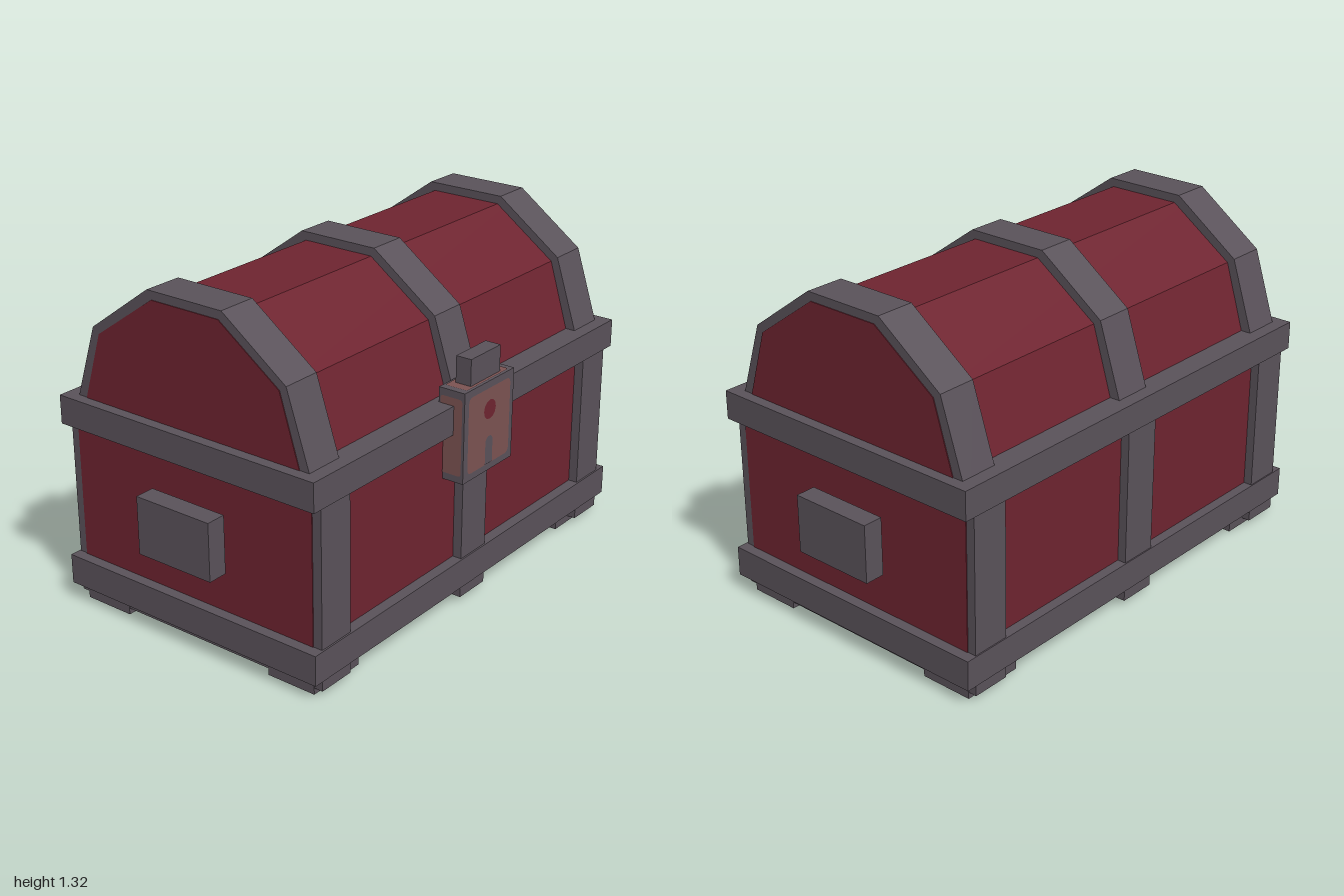
import * as THREE from 'three';

const red = new THREE.MeshStandardMaterial({ color: 0x6e2430 });
red.name = 'redWood';
const iron = new THREE.MeshStandardMaterial({ color: 0x5a525a });
iron.name = 'greyIron';
const copper = new THREE.MeshStandardMaterial({ color: 0x7c5352 });
copper.name = 'dullCopper';

export function createModel() {
  const chest = new THREE.Group();
  chest.name = 'chest';

  function add(name, geometry, material, parent = chest) {
    const mesh = new THREE.Mesh(geometry, material);
    mesh.name = name;
    parent.add(mesh);
    return mesh;
  }

  // Box given by its limits along each axis
  function box(name, [x0, x1], [y0, y1], [z0, z1], material, parent) {
    const mesh = add(name, new THREE.BoxGeometry(x1 - x0, y1 - y0, z1 - z0), material, parent);
    mesh.position.set((x0 + x1) / 2, (y0 + y1) / 2, (z0 + z1) / 2);
    return mesh;
  }

  // Side outline of [z, y] points, extruded along x
  function prism(name, points, [x0, x1], material) {
    const shape = new THREE.Shape(points.map(([z, y]) => new THREE.Vector2(z, y)));
    const geometry = new THREE.ExtrudeGeometry(shape, { depth: x1 - x0, bevelEnabled: false });
    geometry.rotateY(-Math.PI / 2).translate(x1, 0, 0);
    return add(name, geometry, material);
  }

  // Wooden body and faceted lid
  box('body', [-0.903, 0.903], [0.042, 0.78], [-0.57, 0.523], red);
  prism('lid', [[0.503, 0.74], [0.392, 1.1], [0.133, 1.285], [-0.17, 1.285],
    [-0.433, 1.1], [-0.545, 0.74]], [-0.903, 0.903], red);

  // Three iron straps wrap the body and the lid
  const lidStrap = [[0.545, 0.74], [0.42, 1.12], [0.147, 1.318], [-0.19, 1.318],
    [-0.463, 1.12], [-0.588, 0.74]];
  for (const [side, x0, x1] of [['right', -0.9, -0.745], ['middle', -0.078, 0.078], ['left', 0.745, 0.9]]) {
    box(side + 'BodyStrap', [x0, x1], [0.025, 0.78], [-0.605, 0.56], iron);
    prism(side + 'LidStrap', lidStrap, [x0, x1], iron);
  }

  // Bands around the base and the opening
  box('lowerBand', [-0.945, 0.945], [0.07, 0.188], [-0.61, 0.567], iron);
  box('upperBand', [-0.945, 0.945], [0.725, 0.837], [-0.61, 0.567], iron);

  // Feet and side handles
  for (const [side, s] of [['left', 1], ['right', -1]]) {
    const span = (a, b) => (s > 0 ? [a, b] : [-b, -a]);
    box(side + 'FrontFoot', span(0.655, 0.902), [0, 0.045], [0.318, 0.525], iron);
    box(side + 'BackFoot', span(0.655, 0.902), [0, 0.045], [-0.572, -0.36], iron);
    box(side + 'Handle', span(0.92, 1), [0.352, 0.58], [-0.19, 0.147], iron);
  }

  // Lock case with the hasp above it
  const lock = new THREE.Group();
  lock.name = 'lock';
  chest.add(lock);
  box('lockCase', [-0.157, 0.157], [0.54, 0.895], [0.5, 0.612], iron, lock);
  box('hasp', [-0.093, 0.093], [0.85, 1], [0.527, 0.592], iron, lock);

  // Thin rounded inlays on the lock faces
  function inlay(name, w, h, r) {
    const a = w / 2, b = h / 2;
    const shape = new THREE.Shape();
    shape.moveTo(-a + r, -b).lineTo(a - r, -b).quadraticCurveTo(a, -b, a, -b + r)
      .lineTo(a, b - r).quadraticCurveTo(a, b, a - r, b)
      .lineTo(-a + r, b).quadraticCurveTo(-a, b, -a, b - r)
      .lineTo(-a, -b + r).quadraticCurveTo(-a, -b, -a + r, -b);
    return add(name, new THREE.ShapeGeometry(shape, 4), copper, lock);
  }
  inlay('frontInlay', 0.265, 0.3, 0.025).position.set(0, 0.718, 0.614);
  for (const s of [-1, 1]) {
    const sideInlay = inlay('sideInlay', 0.094, 0.3, 0.012);
    sideInlay.rotation.y = s * Math.PI / 2;
    sideInlay.position.set(s * 0.159, 0.718, 0.556);
    const capInlay = inlay('capInlay', 0.265, 0.094, 0.012);
    capInlay.rotation.x = -s * Math.PI / 2;
    capInlay.position.set(0, s > 0 ? 0.897 : 0.538, 0.556);
  }

  // Red gem and the keyhole slot
  add('gem', new THREE.CircleGeometry(0.038, 12), red, lock).position.set(0, 0.785, 0.616);
  const slot = new THREE.Shape();
  slot.moveTo(-0.023, 0.57).lineTo(0.023, 0.57).lineTo(0.023, 0.657)
    .absarc(0, 0.657, 0.023, 0, Math.PI, false).lineTo(-0.023, 0.57);
  add('keyhole', new THREE.ShapeGeometry(slot, 6), iron, lock).position.z = 0.616;

  return chest;
}
